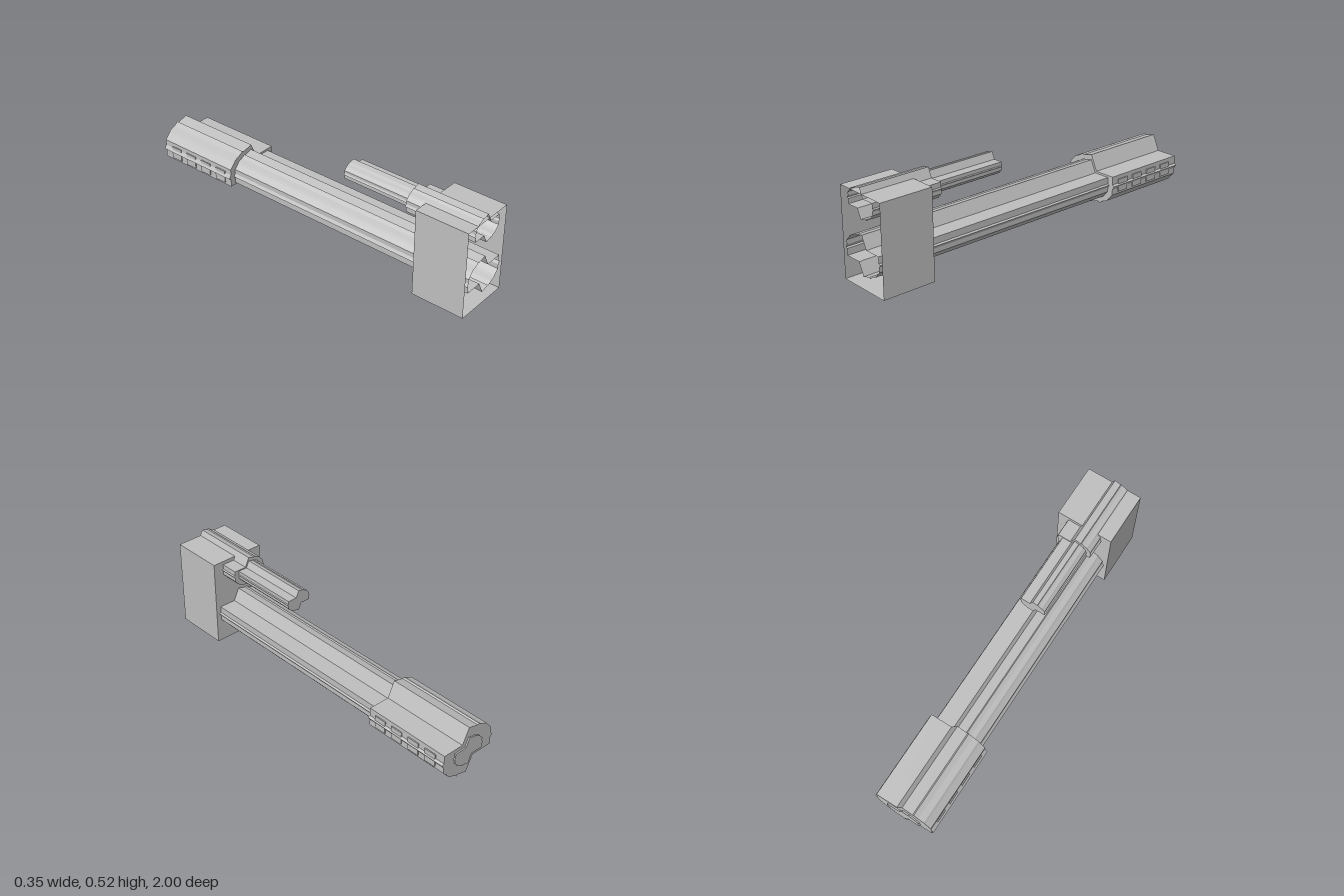
import * as THREE from 'three';

// Half of the fluted outline (unit radius); the other half is the same turned by 180 degrees
const HALF = [
  [0, 1], [-0.34, 0.875], [-0.383, 0.924], [-0.53, 0.8], [-0.707, 0.707], [-0.76, 0.61],
  [-0.924, 0.383], [-0.925, 0.15], [-1, 0], [-0.925, -0.05], [-0.924, -0.383], [-0.23, -0.37],
];
const WIDEN = 1.3;

// Drops the triangles lying in the plane z = 1, leaving the front end open
function openFront(geometry) {
  const source = geometry.index ? geometry.toNonIndexed() : geometry;
  const p = source.attributes.position;
  const kept = [];
  for (let i = 0; i < p.count; i += 3) {
    if ([0, 1, 2].every((k) => p.getZ(i + k) > 0.9999)) continue;
    for (let k = 0; k < 3; k++) kept.push(p.getX(i + k), p.getY(i + k), p.getZ(i + k));
  }
  const result = new THREE.BufferGeometry();
  result.setAttribute('position', new THREE.Float32BufferAttribute(kept, 3));
  result.computeVertexNormals();
  return result;
}

// Fluted bar running from zBack to zFront
function flutedBar(radius, y, zBack, zFront) {
  const points = [...HALF, ...HALF.map(([a, b]) => [-a, -b])]
    .map(([a, b]) => new THREE.Vector2(a * radius * WIDEN, b * radius));
  const geometry = new THREE.ExtrudeGeometry(new THREE.Shape(points), {
    depth: zFront - zBack, bevelEnabled: false,
  });
  return geometry.translate(0, y, zBack);
}

export function createModel() {
  const group = new THREE.Group();
  const grey = new THREE.MeshStandardMaterial({ color: 0xbfbfbf, flatShading: true, side: THREE.DoubleSide });
  grey.name = 'grey metal';

  const add = (name, geometry) => {
    const mesh = new THREE.Mesh(geometry, grey);
    mesh.name = name;
    group.add(mesh);
  };

  // Housing block, open at the front
  add('housing', openFront(new THREE.BoxGeometry(0.314, 0.49, 0.3).translate(0, 0.245, 0.85)));

  // Lower barrel with its thick muzzle sleeve and raised muzzle disc
  add('mainBarrel', openFront(flutedBar(0.107, 0.174, -0.5, 1)));
  add('muzzleSleeve', flutedBar(0.135, 0.175, -0.992, -0.5));
  add('muzzleDisc', flutedBar(0.077, 0.175, -1, -0.99));

  // Upper short barrel and its collar
  add('upperCollar', openFront(flutedBar(0.08, 0.44, 0.6, 1)));
  add('upperBarrel', flutedBar(0.058, 0.442, 0.2, 0.6));

  // Rows of vent plates on both sides of the sleeve
  for (const side of [-1, 1]) {
    for (let i = 0; i < 4; i++) {
      add('ventPlate', new THREE.BoxGeometry(0.009, 0.07, 0.068)
        .translate(side * 0.1635, 0.17, -0.575 - i * 0.11));
    }
  }
  return group;
}
